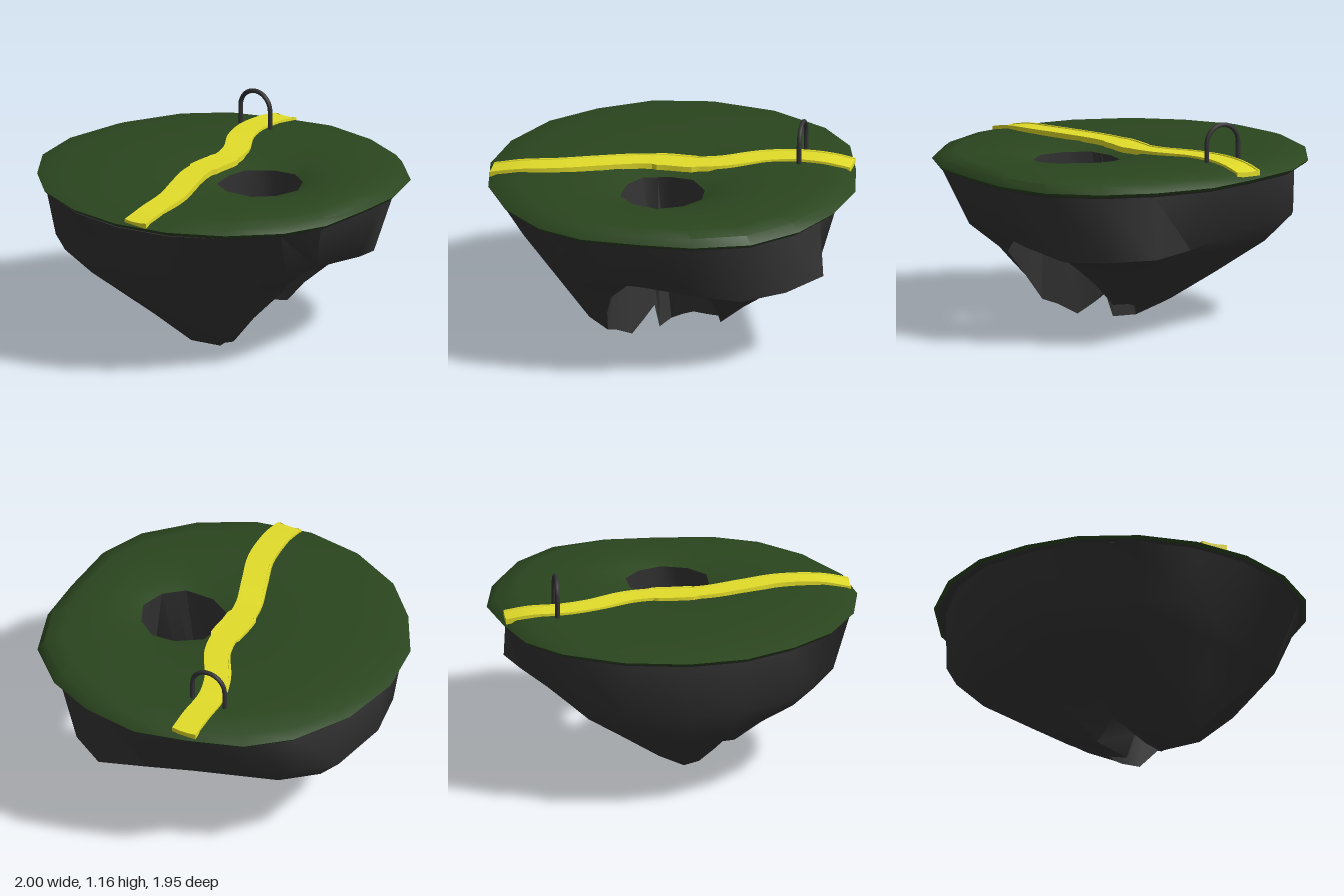
import * as THREE from 'three';
import { toCreasedNormals } from 'three/addons/utils/BufferGeometryUtils.js';

const material = (name, color) => {
  const m = new THREE.MeshStandardMaterial({ color });
  m.name = name;
  return m;
};

// skin a list of closed rings, each an array of [x, y, z]
function loft(rings, crease) {
  const n = rings[0].length;
  const index = [];
  for (let r = 0; r < rings.length - 1; r++) {
    for (let i = 0; i < n; i++) {
      const a = r * n + i, b = r * n + (i + 1) % n;
      index.push(a, b, a + n, b, b + n, a + n);
    }
  }
  const g = new THREE.BufferGeometry();
  g.setAttribute('position', new THREE.Float32BufferAttribute(rings.flat(2), 3));
  g.setIndex(index);
  return toCreasedNormals(g, crease);
}

function mesh(name, geometry, mat) {
  const m = new THREE.Mesh(geometry, mat);
  m.name = name;
  return m;
}

const lerp = THREE.MathUtils.lerp;

// island outline [x, z], clockwise from the back
const RIM = [
  [0.01, -0.98], [0.36, -0.92], [0.67, -0.75], [0.85, -0.54], [0.94, -0.25],
  [1, 0.05], [0.94, 0.37], [0.81, 0.64], [0.59, 0.86], [0.29, 0.96],
  [0, 0.97], [-0.32, 0.96], [-0.57, 0.86], [-0.8, 0.64], [-0.95, 0.36],
  [-1, 0.05], [-0.95, -0.26], [-0.8, -0.56], [-0.58, -0.77], [-0.31, -0.93],
];

// hole outline [x, z], half as many corners
const HOLE_CORNERS = [
  [0, 0.08], [0.12, 0.1], [0.21, 0.23], [0.22, 0.36], [0.14, 0.47],
  [0.01, 0.53], [-0.13, 0.49], [-0.22, 0.39], [-0.22, 0.23], [-0.15, 0.11],
];
const HOLE = HOLE_CORNERS.flatMap((p, i) => {
  const q = HOLE_CORNERS[(i + 1) % HOLE_CORNERS.length];
  return [p, [(p[0] + q[0]) / 2, (p[1] + q[1]) / 2]];
});

// widest ledge of the rock, with a flat face cut into the +x side
const SHOULDER = [
  [0, 0.58, -0.9], [0.35, 0.57, -0.85], [0.6, 0.61, -0.69], [0.67, 0.59, -0.45], [0.75, 0.56, -0.18],
  [0.82, 0.53, 0.08], [0.88, 0.51, 0.33], [0.72, 0.49, 0.55], [0.5, 0.47, 0.68], [0.25, 0.52, 0.77],
  [0, 0.56, 0.8], [-0.22, 0.59, 0.82], [-0.38, 0.54, 0.74], [-0.6, 0.55, 0.52], [-0.78, 0.58, 0.25],
  [-0.87, 0.6, 0], [-0.84, 0.58, -0.24], [-0.71, 0.57, -0.49], [-0.52, 0.57, -0.69], [-0.28, 0.58, -0.84],
];

// ragged lower lip of the rock around the hole
const LIP = [
  [-0.04, 0.015, -0.1], [0.03, 0.06, -0.06], [0.1, 0.1, -0.01], [0.2, 0.12, 0.06], [0.28, 0.15, 0.14],
  [0.3, 0.16, 0.25], [0.3, 0.28, 0.36], [0.29, 0.36, 0.45], [0.22, 0.45, 0.54], [0.1, 0.46, 0.58],
  [0, 0.47, 0.59], [-0.14, 0.48, 0.6], [-0.23, 0.4, 0.59], [-0.28, 0.25, 0.45], [-0.3, 0.1, 0.33],
  [-0.27, 0.07, 0.25], [-0.2, 0.02, 0.17], [-0.15, 0.08, 0.1], [-0.1, 0.15, 0.06], [-0.08, 0.01, 0.02],
];

const rimY = (z) => 0.89 - 0.02 * z;

function grassGeometry() {
  // [distance from hole to rim, height, depth of the hollow beside the hole]
  const steps = [[0, 0.91, 0], [0.14, 0.95, 0.02], [0.45, 0.957, 0.01], [0.78, 0.948, 0], [0.94, 0.928, 0]];
  const rings = steps.map(([t, y, dip]) => RIM.map(([x, z], i) => {
    const px = lerp(HOLE[i][0], x, t), pz = lerp(HOLE[i][1], z, t);
    const hollow = dip * Math.max(0, Math.cos((i - 12) * Math.PI / 10));
    return [px, y + 0.012 * px - 0.012 * pz * t - hollow, pz];
  }));
  rings.push(RIM.map(([x, z]) => [x, rimY(z) + 0.008, z]));
  rings.push(RIM.map(([x, z]) => [x * 0.985, rimY(z) - 0.008, z * 0.985]));
  return loft(rings, 0.7);
}

function rockGeometry() {
  const edge = RIM.map(([x, z]) => [x * 0.985, rimY(z) - 0.008, z * 0.985]);
  const under = RIM.map(([x, z]) => [x * 0.97, rimY(z) - 0.018, z * 0.97]);
  const top = RIM.map(([x, z]) => {
    const s = 0.945 - 0.03 * x;
    return [x * s, rimY(z) - 0.02, z * s];
  });
  // rings between ledge and lip, bellied towards the back and the -x side
  const between = (t) => SHOULDER.map((p, i) => {
    const [x, z] = RIM[i];
    const drop = t + 0.14 * Math.max(0, -z) * Math.min(1, 4 * (1 - t)) + 0.13 * t * Math.max(0, -x);
    return [lerp(p[0], LIP[i][0], t), lerp(p[1], LIP[i][1], drop), lerp(p[2], LIP[i][2], t)];
  });
  const holeTop = HOLE.map(([x, z]) => [x, 0.91 + 0.012 * x, z]);
  const slope = [0.18, 0.5, 0.78].map(between);
  return loft([edge, under, top, SHOULDER, ...slope, LIP, holeTop], 0.9);
}

// kerbed path along [x, y, z] points, wider in the middle
function pathGeometry(points) {
  const curve = new THREE.CatmullRomCurve3(points.map((p) => new THREE.Vector3(...p)));
  const section = [
    [-1, -0.03], [-1, 0], [-0.84, 0], [-0.82, -0.005],
    [0.82, -0.005], [0.84, 0], [1, 0], [1, -0.03],
  ];
  const samples = 72;
  const rings = [];
  for (let s = 0; s <= samples; s++) {
    const p = curve.getPointAt(s / samples);
    const t = curve.getTangentAt(s / samples).setY(0).normalize();
    const w = Math.abs(p.x - 0.01) < 0.11 ? 0.083 : 0.071;
    rings.push(section.map(([k, y]) => [p.x - t.z * k * w, p.y + y, p.z + t.x * k * w]));
  }
  // close both ends
  const cap = (ring) => {
    const c = [0, 1, 2].map((a) => ring.reduce((sum, p) => sum + p[a], 0) / ring.length);
    return ring.map(() => c);
  };
  return loft([cap(rings[0]), ...rings, cap(rings[samples])], 0.35);
}

export function createModel() {
  const grass = material('dark green grass', 0x2b461f);
  const rock = material('charcoal rock', 0x363636);
  const yellow = material('yellow path', 0xe3dd2a);
  const iron = material('dark iron', 0x333335);

  const group = new THREE.Group();
  group.name = 'floatingIsland';
  group.add(mesh('grassTop', grassGeometry(), grass));
  group.add(mesh('rockBase', rockGeometry(), rock));
  group.add(mesh('path', pathGeometry([
    [-0.97, 0.923, 0.165], [-0.82, 0.953, 0.165], [-0.6, 0.968, 0.14], [-0.4, 0.97, 0.07],
    [-0.2, 0.969, 0], [-0.05, 0.969, -0.02], [0.1, 0.969, -0.02], [0.25, 0.972, -0.055],
    [0.45, 0.975, -0.165], [0.62, 0.975, -0.215], [0.8, 0.97, -0.217], [0.93, 0.95, -0.217],
  ]), yellow));

  // arch standing over the path
  const arch = new THREE.CurvePath();
  const v = (y, z) => new THREE.Vector3(0.655, y, z);
  const bend = [];
  for (let i = 0; i <= 12; i++) {
    const a = Math.PI * i / 12;
    bend.push(v(1.06 + 0.098 * Math.sin(a), -0.22 + 0.098 * Math.cos(a)));
  }
  arch.add(new THREE.LineCurve3(v(0.93, -0.122), bend[0]));
  arch.add(new THREE.CatmullRomCurve3(bend));
  arch.add(new THREE.LineCurve3(bend[12], v(0.93, -0.318)));
  group.add(mesh('arch', new THREE.TubeGeometry(arch, 48, 0.0125, 10), iron));

  return group;
}
